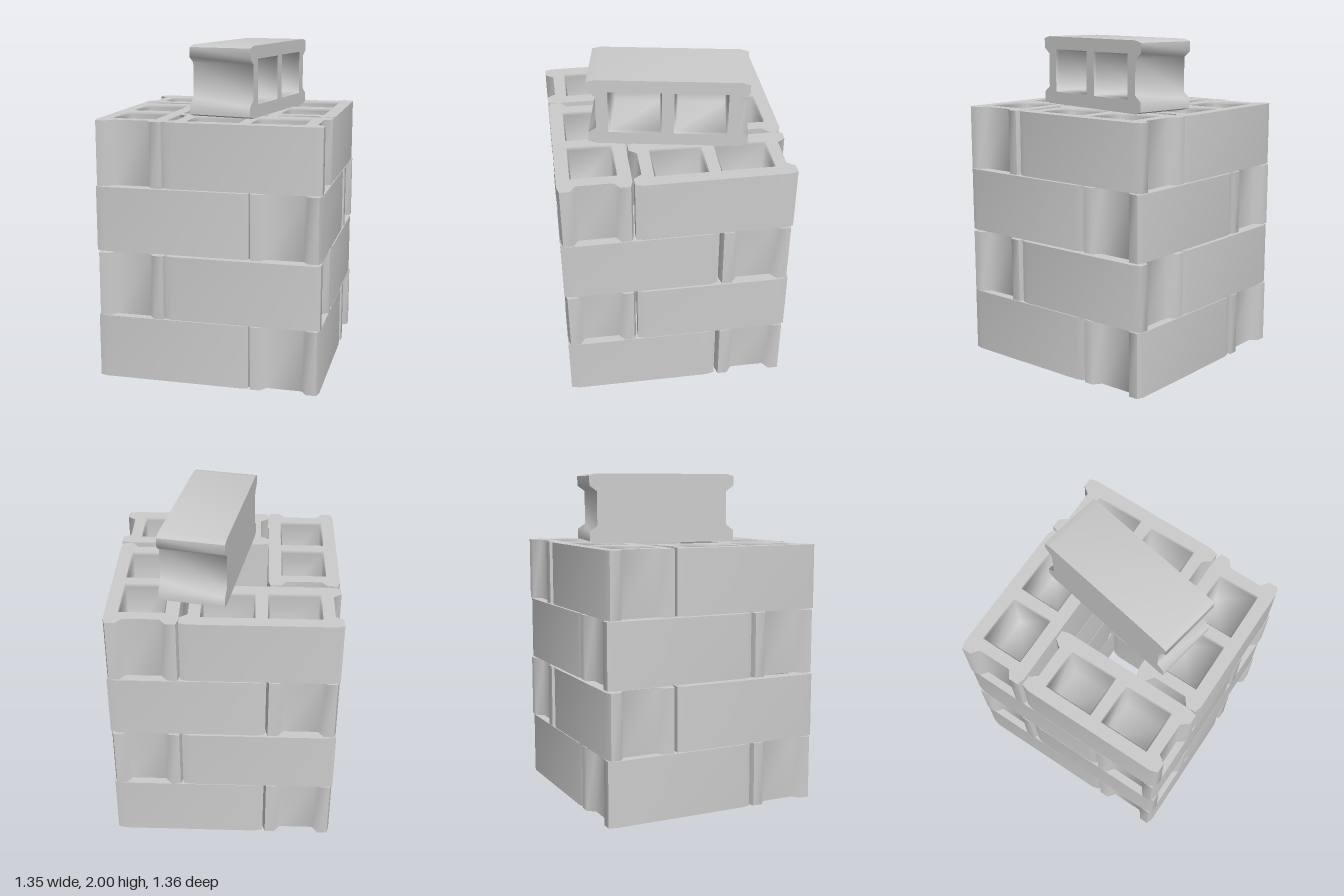
import * as THREE from 'three';
import { mergeGeometries, toCreasedNormals } from 'three/addons/utils/BufferGeometryUtils.js';

const L = 0.924, W = 0.422, H = 0.388; // block length, width, height

// Skin between rings of [x, y] points, each at its own height; optional floor on the last ring
function loft(rings, floor) {
  const n = rings[0].pts.length, pos = [], idx = [];
  for (const { pts, h } of rings) for (const [x, y] of pts) pos.push(x, h, -y);
  for (let r = 0; r < rings.length - 1; r++) {
    for (let i = 0; i < n; i++) {
      const a = r * n + i, b = r * n + (i + 1) % n;
      idx.push(a, b, b + n, a, b + n, a + n);
    }
  }
  const f = (rings.length - 1) * n;
  if (floor) idx.push(f, f + 1, f + 2, f, f + 2, f + 3);
  const g = new THREE.BufferGeometry();
  g.setAttribute('position', new THREE.Float32BufferAttribute(pos, 3));
  g.setIndex(idx);
  g.computeVertexNormals();
  return g;
}

const rect = (cx, w, d) => [[cx - w / 2, -d / 2], [cx + w / 2, -d / 2], [cx + w / 2, d / 2], [cx - w / 2, d / 2]];
const toShape = pts => new THREE.Shape(pts.map(([x, y]) => new THREE.Vector2(x, y)));

function blockGeometry() {
  // Outline with a trapezoid groove and tapered horns at each end
  const x = L / 2, w = W / 2, d = 0.047;
  const end = [[x - d, -w], [x, -w + 0.013], [x, -0.139], [x - d, -0.104],
    [x - d, 0.104], [x, 0.139], [x, w - 0.013], [x - d, w]];
  const outline = [...end, ...end.map(([a, b]) => [-a, -b])];

  const top = toShape(outline), cavities = [];
  for (const cx of [-0.19, 0.19]) {
    const rim = rect(cx, 0.31, 0.266);
    top.holes.push(toShape(rim));
    // Closed pocket with a bevelled rim
    cavities.push(loft([
      { pts: rim, h: H },
      { pts: rect(cx, 0.292, 0.25), h: H - 0.016 },
      { pts: rect(cx, 0.284, 0.24), h: 0.05 },
    ], true));
  }
  const sides = toCreasedNormals(loft([{ pts: outline, h: 0 }, { pts: outline, h: H }]), 1.0);
  const topFace = new THREE.ShapeGeometry(top).rotateX(-Math.PI / 2).translate(0, H, 0);
  const bottomFace = new THREE.ShapeGeometry(toShape(outline)).rotateX(Math.PI / 2);
  return mergeGeometries([sides, topFace, bottomFace, ...cavities].map(g => {
    const flat = g.index ? g.toNonIndexed() : g;
    flat.deleteAttribute('uv');
    return flat;
  }));
}

export function createModel() {
  const model = new THREE.Group();
  model.name = 'blockStack';
  const geometry = blockGeometry();
  const material = new THREE.MeshStandardMaterial({ color: 0xcccccc });

  // Four courses in a pinwheel, every other one mirrored
  const bases = [0.003, 0.395, 0.795, 1.189];
  const layout = [
    ['backBlock', -0.213, -0.47, 0],
    ['leftBlock', 0.462, -0.22, Math.PI / 2],
    ['frontBlock', 0.212, 0.463, 0],
    ['rightBlock', -0.462, 0.215, Math.PI / 2],
  ];
  bases.forEach((y, i) => {
    const course = new THREE.Group();
    course.name = `course${i + 1}`;
    const mirror = i % 2 ? 1 : -1;
    for (const [name, x, z, turn] of layout) {
      const block = new THREE.Mesh(geometry, material);
      block.name = name;
      block.position.set(x * mirror, y, z);
      block.rotation.y = turn;
      course.add(block);
    }
    model.add(course);
  });

  // Loose block lying on its side across the top
  const loose = new THREE.Group();
  loose.name = 'looseBlock';
  const block = new THREE.Mesh(geometry, material);
  block.name = 'looseBlockBody';
  block.quaternion.setFromRotationMatrix(new THREE.Matrix4().makeBasis(
    new THREE.Vector3(0, 0, 1), new THREE.Vector3(1, 0, 0), new THREE.Vector3(0, 1, 0)));
  block.position.x = -H / 2;
  loose.add(block);
  loose.position.set(0.103, 1.789, -0.028);
  loose.rotation.y = -0.178;
  model.add(loose);
  return model;
}
